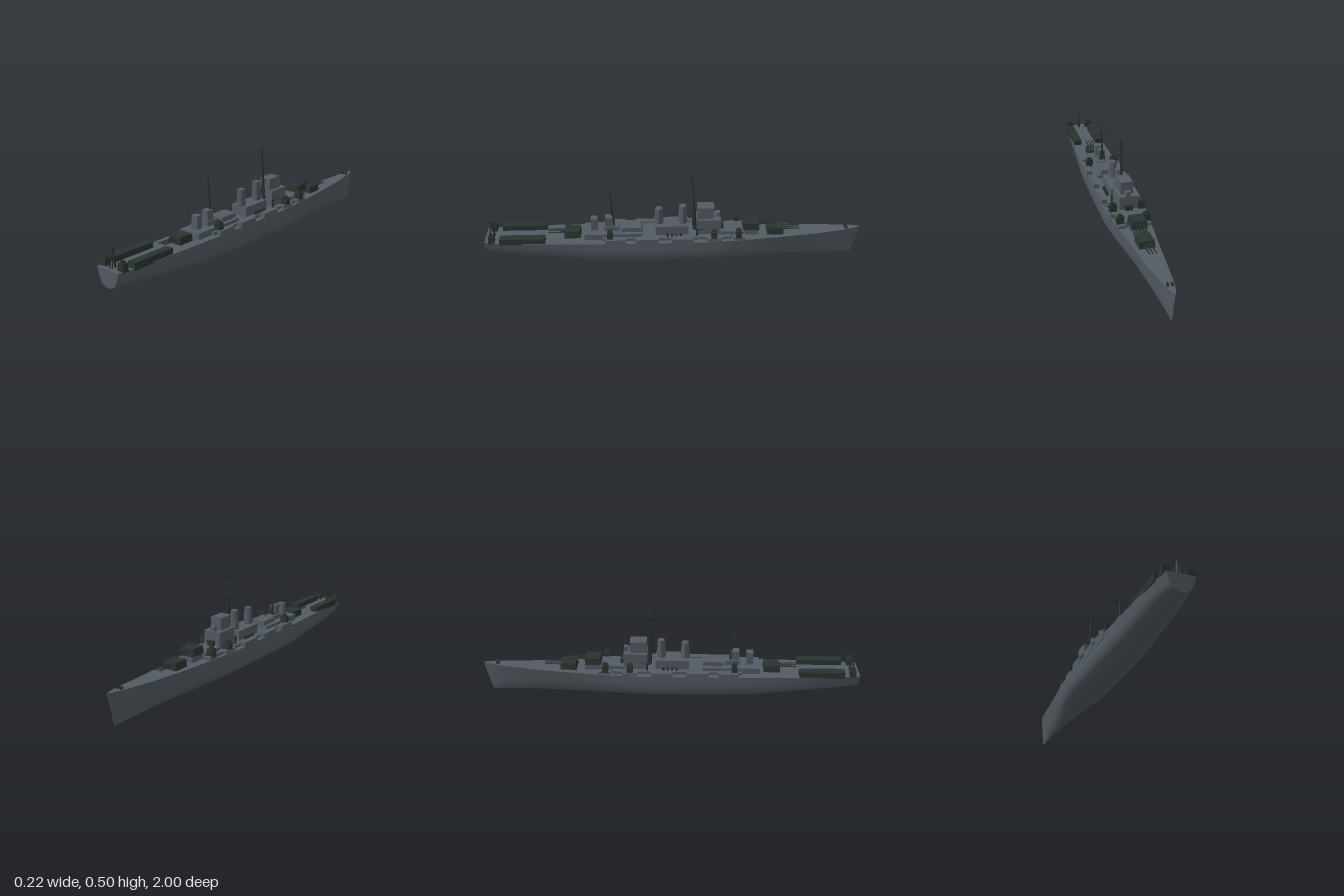
import * as THREE from 'three';
import { toCreasedNormals } from 'three/addons/utils/BufferGeometryUtils.js';

const mat = (name, color) => Object.assign(new THREE.MeshStandardMaterial({ color }), { name });

export function createModel() {
  const ship = new THREE.Group();
  ship.name = 'warship';
  const grey = mat('hullGrey', 0x535b63);
  const dark = mat('gunGreen', 0x29332f);

  const add = (name, geo, m, parent = ship) => {
    const mesh = new THREE.Mesh(geo, m);
    mesh.name = name;
    parent.add(mesh);
    return mesh;
  };
  // Box from ranges; taper narrows the roof
  const box = (name, [x0, x1], [y0, y1], [z0, z1], m, parent = ship, taper = 1) => {
    const g = new THREE.BoxGeometry(x1 - x0, y1 - y0, z1 - z0);
    const p = g.attributes.position;
    for (let i = 0; i < p.count; i++) {
      if (p.getY(i) > 0) p.setXYZ(i, p.getX(i) * taper, p.getY(i), p.getZ(i) * taper);
    }
    g.computeVertexNormals();
    add(name, g, m, parent).position.set((x0 + x1) / 2, (y0 + y1) / 2, (z0 + z1) / 2);
  };
  // Rod between two points
  const rod = (name, a, b, r0, r1, m, parent = ship) => {
    const s = new THREE.Vector3(...a), e = new THREE.Vector3(...b), d = e.clone().sub(s);
    const mesh = add(name, new THREE.CylinderGeometry(r1, r0, d.length(), 6), m, parent);
    mesh.position.copy(s).add(e).multiplyScalar(0.5);
    mesh.quaternion.setFromUnitVectors(new THREE.Vector3(0, 1, 0), d.normalize());
  };

  // Hull: stations of z, half width, deck height, keel height, vee amount, stem rake
  const stations = [
    [1, 0.07, 0.148, 0.06, 0.45, 0], [0.9, 0.083, 0.147, 0.052, 0.3, 0],
    [0.65, 0.092, 0.147, 0.026, 0.15, 0], [0.45, 0.099, 0.147, 0.006, 0.05, 0],
    [0.2, 0.102, 0.147, 0, 0, 0], [-0.15, 0.102, 0.147, 0, 0, 0],
    [-0.35, 0.088, 0.147, 0, 0.2, 0], [-0.55, 0.066, 0.147, 0, 0.5, 0],
    [-0.75, 0.045, 0.152, 0, 0.7, 0], [-0.9, 0.027, 0.16, 0, 0.8, 0.005],
    [-0.97, 0.013, 0.164, 0, 0.85, 0.02], [-1, 0.002, 0.166, 0.002, 0.9, 0.035]];
  const heights = [1, 0.7, 0.4, 0.2, 0.06, 0];
  const full = [1, 1, 0.99, 0.82, 0.5, 0];
  const vee = [1, 0.72, 0.48, 0.32, 0.16, 0];
  const n = 11, pos = [], idx = [];
  for (const [z, hw, deck, keel, v, rake] of stations) {
    for (let j = 0; j < n; j++) {
      const i = j < 6 ? j : 10 - j, t = heights[i];
      const x = hw * THREE.MathUtils.lerp(full[i], vee[i], v);
      pos.push(j < 6 ? x : -x, keel + (deck - keel) * t, z + rake * (1 - t));
    }
  }
  for (let k = 0; k < stations.length - 1; k++) {
    for (let j = 0; j < n; j++) {
      const a = k * n + j, b = k * n + (j + 1) % n;
      idx.push(a, b, b + n, a, b + n, a + n);
    }
  }
  const last = (stations.length - 1) * n;
  for (let j = 1; j < n - 1; j++) idx.push(0, j + 1, j, last, last + j, last + j + 1);
  const hull = new THREE.BufferGeometry();
  hull.setAttribute('position', new THREE.Float32BufferAttribute(pos, 3));
  hull.setIndex(idx);
  add('hull', toCreasedNormals(hull, 0.6), grey);

  // Deckhouses and bridge
  const houses = [
    ['mainDeckhouse', 0.075, 0.14, 0.163, -0.3, 0.38],
    ['aftDeckhouse', 0.06, 0.14, 0.18, 0.17, 0.475],
    ['aftUpperHouse', 0.04, 0.18, 0.205, 0.175, 0.28],
    ['aftDirectorBase', 0.026, 0.18, 0.205, 0.29, 0.37],
    ['aftDirector', 0.019, 0.18, 0.25, 0.405, 0.44],
    ['aftMastHouse', 0.019, 0.2, 0.258, 0.325, 0.365],
    ['funnelHouse', 0.048, 0.16, 0.215, -0.075, 0.1],
    ['lowerBridge', 0.048, 0.16, 0.25, -0.245, -0.12],
    ['upperBridge', 0.032, 0.25, 0.315, -0.21, -0.122],
    ['bridgeDirector', 0.014, 0.25, 0.275, -0.243, -0.222],
    ['forwardDeckhouse', 0.052, 0.14, 0.18, -0.37, -0.24],
    ['turretPlatform', 0.034, 0.14, 0.182, -0.45, -0.36]];
  for (const [name, w, y0, y1, z0, z1] of houses) box(name, [-w, w], [y0, y1], [z0, z1], grey);
  box('forwardGun', [-0.02, 0.02], [0.18, 0.205], [-0.262, -0.24], dark);

  // Side galleries
  for (const s of [1, -1]) {
    const xr = (a, b) => (s > 0 ? [a, b] : [-b, -a]);
    for (const [z0, z1] of [[-0.1, 0.015], [0.085, 0.205], [0.255, 0.36]])
      box('sideGallery', xr(0.072, 0.103), [0.12, 0.17], [z0, z1], grey);
    box('forwardGallery', xr(0.06, 0.094), [0.12, 0.163], [-0.25, -0.17], grey);
    box('forwardGunGallery', xr(0.045, 0.084), [0.12, 0.163], [-0.375, -0.31], grey);
    // Deck lockers
    for (let i = 0; i < 4; i++)
      box('deckLocker', xr(0.052, 0.066), [0.16, 0.18], [-0.04 + i * 0.023, -0.028 + i * 0.023], dark);
    // Stern rails
    box('sternRack', xr(0.043, 0.086), [0.14, 0.176], [0.68, 0.918], dark);
    // Light gun mounts
    for (const [x, y, z] of [[0.068, 0.16, -0.34], [0.073, 0.16, -0.21], [0.07, 0.165, 0.34], [0.058, 0.145, 0.962]]) {
      const g = new THREE.Group();
      g.name = 'lightGunMount';
      g.position.set(s * x, y, z);
      ship.add(g);
      box('gunShield', [-0.02, 0.02], [0, 0.04], [-0.016, 0.016], dark, g, 0.88);
      box('gunSight', [-0.009, 0.009], [0.04, 0.05], [-0.008, 0.008], dark, g);
      for (const dz of [-0.006, 0.006])
        rod('lightBarrel', [s * 0.012, 0.026, dz], [s * 0.038, 0.034, dz], 0.0015, 0.0015, dark, g);
    }
    rod('bridgeGun', [s * 0.057, 0.2, -0.11], [s * 0.057, 0.2, -0.16], 0.003, 0.002, dark);
    rod('bridgeGunStand', [s * 0.057, 0.16, -0.12], [s * 0.057, 0.205, -0.12], 0.006, 0.005, dark);
    box('bowWinch', xr(0.006, 0.015), [0.155, 0.175], [-0.93, -0.915], dark);
  }

  // Main gun turrets
  for (const [y, z, dir] of [[0.145, -0.54, -1], [0.178, -0.408, -1], [0.145, 0.54, 1]]) {
    const t = new THREE.Group();
    t.name = 'mainTurret';
    t.position.set(0, y, z);
    if (dir < 0) t.rotation.y = Math.PI;
    ship.add(t);
    box('turretHouse', [-0.04, 0.04], [0, 0.039], [-0.044, 0.044], dark, t, 0.9);
    for (const x of [-0.017, 0, 0.017])
      rod('mainBarrel', [x, 0.025, 0.03], [x, 0.027, 0.13], 0.0042, 0.003, dark, t);
  }

  // Funnels
  for (const [z, top] of [[0.08, 0.303], [-0.046, 0.316]]) {
    const f = new THREE.CylinderGeometry(0.019, 0.025, top - 0.21, 8).toNonIndexed();
    f.computeVertexNormals();
    add('funnel', f, grey).position.set(0, (top + 0.21) / 2, z);
  }

  // Masts and yards
  rod('foreMast', [0, 0.16, -0.114], [0, 0.502, -0.092], 0.009, 0.004, dark);
  rod('aftMast', [0, 0.17, 0.32], [0, 0.42, 0.335], 0.008, 0.003, dark);
  for (const [w, y, z] of [[0.024, 0.471, -0.094], [0.048, 0.416, -0.098], [0.039, 0.355, 0.331]])
    rod('yard', [-w, y, z], [w, y, z], 0.0032, 0.0032, dark);
  for (const s of [1, -1]) {
    rod('foreMastLeg', [s * 0.02, 0.18, -0.1], [0, 0.32, -0.104], 0.004, 0.003, dark);
    rod('aftMastLeg', [s * 0.018, 0.18, 0.315], [0, 0.28, 0.326], 0.004, 0.003, dark);
    rod('craneLeg', [s * 0.01, 0.147, 0.982], [0, 0.22, 0.966], 0.003, 0.002, dark);
  }

  // Stern crane
  rod('cranePost', [0, 0.147, 0.955], [0, 0.243, 0.966], 0.006, 0.004, dark);
  rod('craneBoom', [0, 0.237, 0.972], [0, 0.245, 0.875], 0.0035, 0.0025, dark);
  return ship;
}
